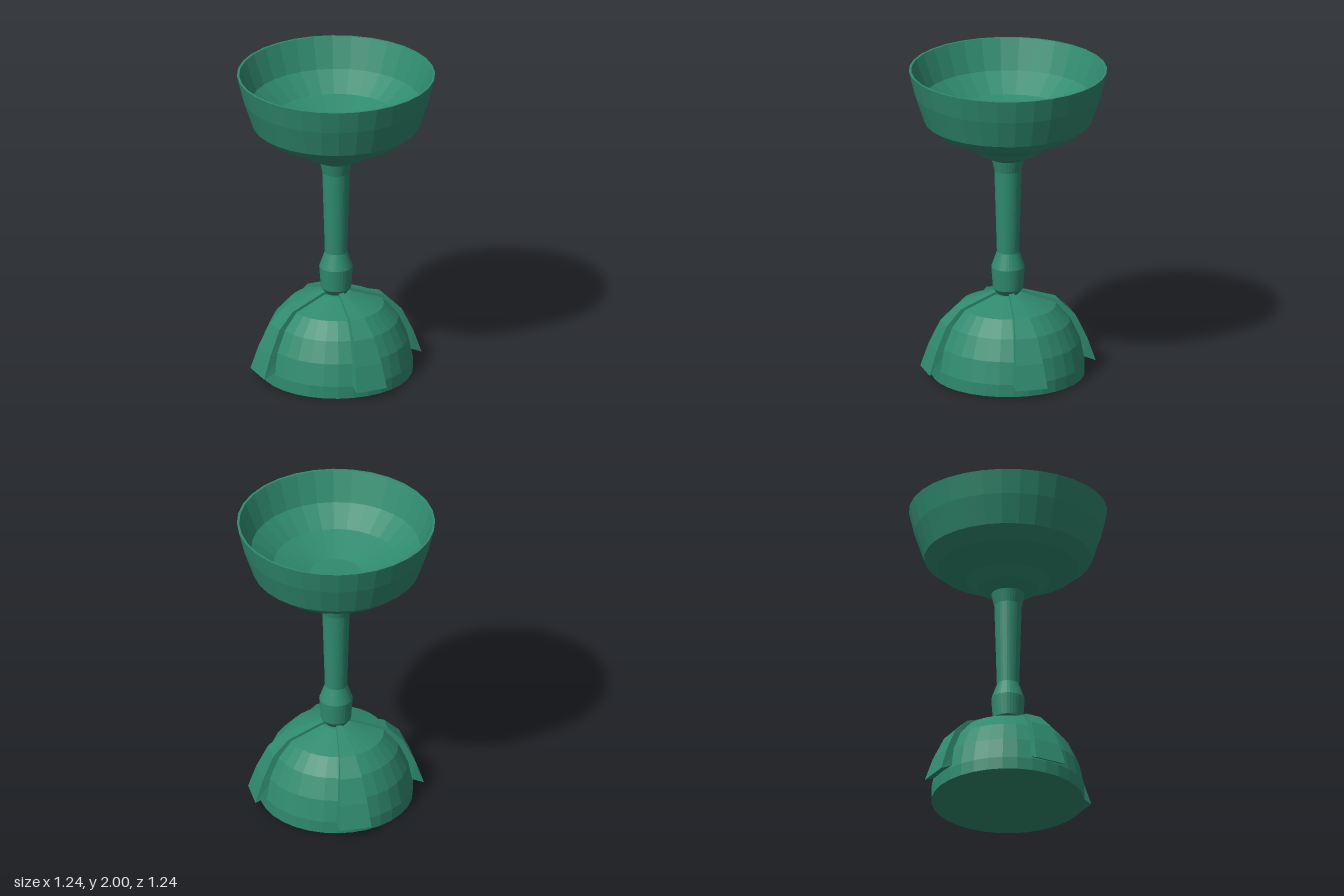
import * as THREE from 'three';

const material = new THREE.MeshStandardMaterial({ color: 0x2f8a6e, flatShading: true });

// Turned part from [radius, height] points, listed bottom to top on the outside
function turned(name, points) {
  const profile = points.map(([r, y]) => new THREE.Vector2(r, y));
  const mesh = new THREE.Mesh(new THREE.LatheGeometry(profile, 32), material);
  mesh.name = name;
  return mesh;
}

// Tapered strap facing +z, built from rectangular cross-sections
// Station: [outer radius, outer height, inner radius, inner height, half width]
function strapGeometry(stations) {
  const positions = [];
  const index = [];
  for (const [ro, yo, ri, yi, w] of stations) {
    positions.push(-w, yo, ro, w, yo, ro, w, yi, ri, -w, yi, ri);
  }
  for (let s = 0; s < stations.length - 1; s++) {
    for (let k = 0; k < 4; k++) {
      const a = s * 4 + k;
      const b = s * 4 + ((k + 1) % 4);
      index.push(a, b, b + 4, a, b + 4, a + 4);
    }
  }
  const e = (stations.length - 1) * 4;
  index.push(0, 2, 1, 0, 3, 2, e, e + 1, e + 2, e, e + 2, e + 3);
  const geometry = new THREE.BufferGeometry();
  geometry.setAttribute('position', new THREE.Float32BufferAttribute(positions, 3));
  geometry.setIndex(index);
  geometry.computeVertexNormals();
  return geometry;
}

export function createModel() {
  const goblet = new THREE.Group();
  goblet.name = 'goblet';

  // Domed foot with a closed underside
  goblet.add(turned('foot', [
    [0, 0], [0.48, 0], [0.48, 0.08], [0.45, 0.22], [0.39, 0.35],
    [0.3, 0.45], [0.09, 0.525], [0, 0.525],
  ]));

  // Stem with a knop at its lower end
  goblet.add(turned('stem', [
    [0, 0.52], [0.065, 0.52], [0.095, 0.56], [0.105, 0.7], [0.07, 0.8],
    [0.086, 1.34], [0.105, 1.42], [0, 1.43],
  ]));

  // Hollow bowl: outside up to the rim, then down the inside
  goblet.add(turned('bowl', [
    [0, 1.415], [0.11, 1.42], [0.19, 1.46], [0.26, 1.515], [0.44, 1.6], [0.525, 1.67],
    [0.585, 1.85], [0.62, 2], [0.605, 2], [0.53, 1.81], [0.39, 1.7], [0.165, 1.62], [0, 1.62],
  ]));

  // Four straps draped over the foot
  const strap = strapGeometry([
    [0.54, 0.06, 0.46, 0.095, 0.104],
    [0.49, 0.21, 0.43, 0.2, 0.09],
    [0.42, 0.36, 0.36, 0.33, 0.07],
    [0.32, 0.46, 0.28, 0.42, 0.05],
    [0.08, 0.545, 0.06, 0.5, 0.016],
  ]);
  for (let i = 0; i < 4; i++) {
    const mesh = new THREE.Mesh(strap, material);
    mesh.name = 'footStrap' + (i + 1);
    mesh.rotation.y = (i * Math.PI) / 2;
    goblet.add(mesh);
  }
  return goblet;
}
